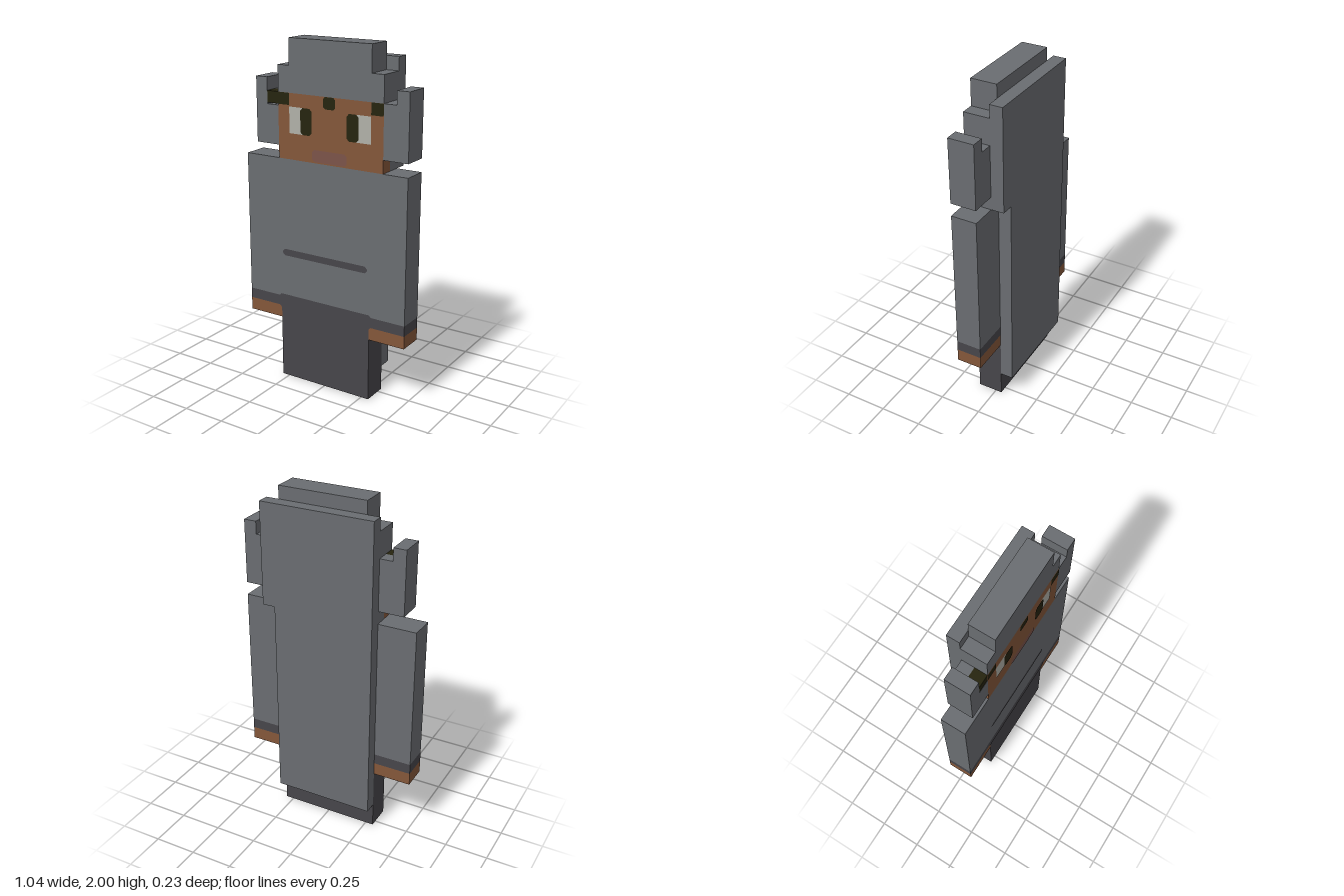
import * as THREE from 'three';

const U = 2 / 27; // one block
const FRONT = 1.5, MID = -0.5, BACK = -1.5; // depth layers, in blocks

function material(name, color) {
  const m = new THREE.MeshStandardMaterial({ color });
  m.name = name;
  return m;
}

export function createModel() {
  const model = new THREE.Group();
  model.name = 'blockFigure';

  const grey = material('grey cloth', 0x6a6d71);
  const dark = material('dark cloth', 0x47454a);
  const skin = material('skin', 0x84573a);
  const black = material('brow black', 0x26240f);
  const white = material('eye white', 0xb0b0a8);
  const lip = material('lip', 0x7c5349);

  // Box given by its limits in blocks
  function block(name, mat, x0, x1, y0, y1, z0 = MID, z1 = FRONT) {
    const geo = new THREE.BoxGeometry((x1 - x0) * U, (y1 - y0) * U, (z1 - z0) * U);
    const mesh = new THREE.Mesh(geo, mat);
    mesh.position.set((x0 + x1) / 2 * U, (y0 + y1) / 2 * U, (z0 + z1) / 2 * U);
    mesh.name = name;
    model.add(mesh);
  }

  // Painted face on the front, with corners cut by c blocks
  function paint(name, mat, x0, x1, y0, y1, c = 0, lift = 0.002) {
    const pts = c
      ? [[x0 + c, y0], [x1 - c, y0], [x1, y0 + c], [x1, y1 - c],
        [x1 - c, y1], [x0 + c, y1], [x0, y1 - c], [x0, y0 + c]]
      : [[x0, y0], [x1, y0], [x1, y1], [x0, y1]];
    const shape = new THREE.Shape(pts.map(([x, y]) => new THREE.Vector2(x * U, y * U)));
    const mesh = new THREE.Mesh(new THREE.ShapeGeometry(shape), mat);
    mesh.position.z = FRONT * U + lift;
    mesh.name = name;
    model.add(mesh);
  }

  // Legs and body
  block('legs', dark, -4, 4, 0, 6.82);
  block('torso', grey, -7, 7, 6.82, 18);
  paint('hem', dark, -4.2, 4.2, 5.85, 7, 0.2);
  paint('pocketSlit', dark, -3.8, 3.8, 10.27, 10.8, 0.2);

  // Hands and cuffs
  for (const [side, x0] of [['right', -7], ['left', 4]]) {
    block(side + 'Hand', skin, x0, x0 + 3, 5, 6);
    block(side + 'Cuff', dark, x0, x0 + 3, 6, 6.82);
  }

  // Long hair down the back
  block('backHairLower', grey, -4, 4, 2, 18, BACK, MID);
  block('backHairUpper', grey, -4, 5, 18, 26, BACK, MID);

  // Head and hair
  block('face', skin, -4, 5, 18, 23, 0.5, FRONT);
  block('headBack', grey, -4, 5, 18, 23, MID, 0.5);
  block('fringe', grey, -4, 5, 23, 25);
  block('crown', grey, -3, 4, 25, 27);

  // Side tufts
  block('leftTuftOuter', grey, 6, 7, 19, 24);
  block('leftTuftInner', grey, 5, 6, 19, 23);
  block('rightTuftOuter', grey, -6, -5, 19, 24);
  block('rightTuftInner', grey, -5, -4, 19, 22);
  block('rightTuftBehindBrow', grey, -5, -4, 22, 23, MID, 0.5);

  // Brows
  block('rightBrowEnd', black, -5, -4, 22.1, 23, 0.5, FRONT);
  paint('rightBrow', black, -4, -3, 22.1, 23);
  paint('middleBrow', black, 0, 1, 22.1, 23, 0.15);
  paint('leftBrow', black, 4, 5, 22.1, 23);

  // Eyes and mouth
  paint('rightEyeWhite', white, -3, -1.8, 20, 22);
  paint('rightPupil', black, -2, -1, 20, 22, 0.2, 0.004);
  paint('leftEyeWhite', white, 2.8, 4, 20, 22);
  paint('leftPupil', black, 2, 3, 20, 22, 0.2, 0.004);
  paint('mouth', lip, -1, 2, 18.1, 19, 0.2);

  return model;
}
